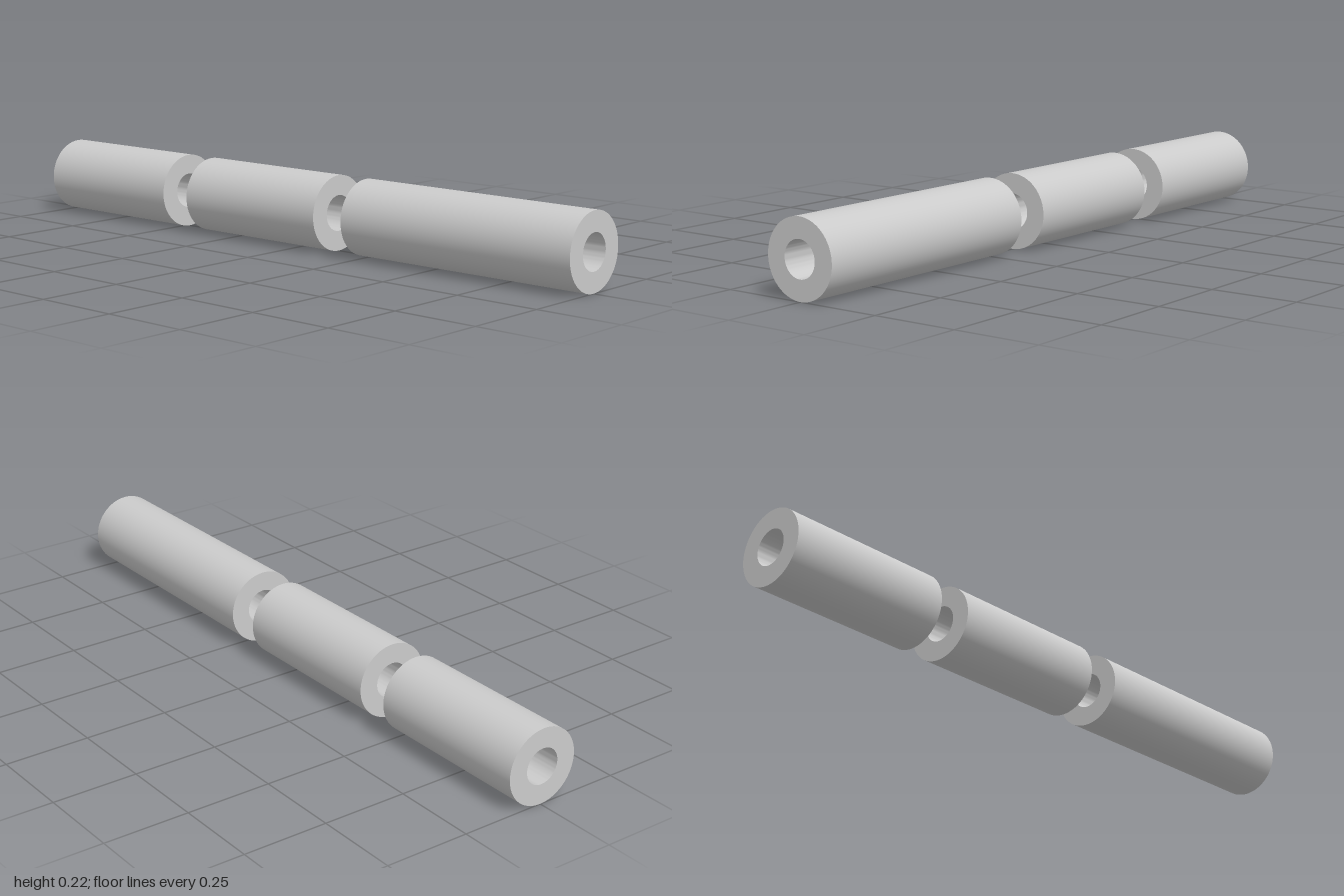
import * as THREE from 'three';
import { toCreasedNormals } from 'three/addons/utils/BufferGeometryUtils.js';

const OUTER = 0.11;
const INNER = 0.052;

// Hollow tube lying along x, from x0 to x1
function tube(name, x0, x1, material) {
  const profile = [
    [OUTER, x0], [OUTER, x1], [INNER, x1], [INNER, x0], [OUTER, x0],
  ].map(([r, x]) => new THREE.Vector2(r, x));
  const geometry = toCreasedNormals(new THREE.LatheGeometry(profile, 64), 0.6);
  geometry.rotateZ(-Math.PI / 2);
  const mesh = new THREE.Mesh(geometry, material);
  mesh.name = name;
  mesh.position.y = OUTER;
  return mesh;
}

export function createModel() {
  const group = new THREE.Group();
  group.name = 'tubeRow';
  const material = new THREE.MeshStandardMaterial({ color: 0xcccccc });

  // Two short tubes and one long tube, in line with gaps between
  group.add(
    tube('rightTube', -1, -0.49, material),
    tube('middleTube', -0.39, 0.123, material),
    tube('longLeftTube', 0.226, 1, material),
  );
  return group;
}
